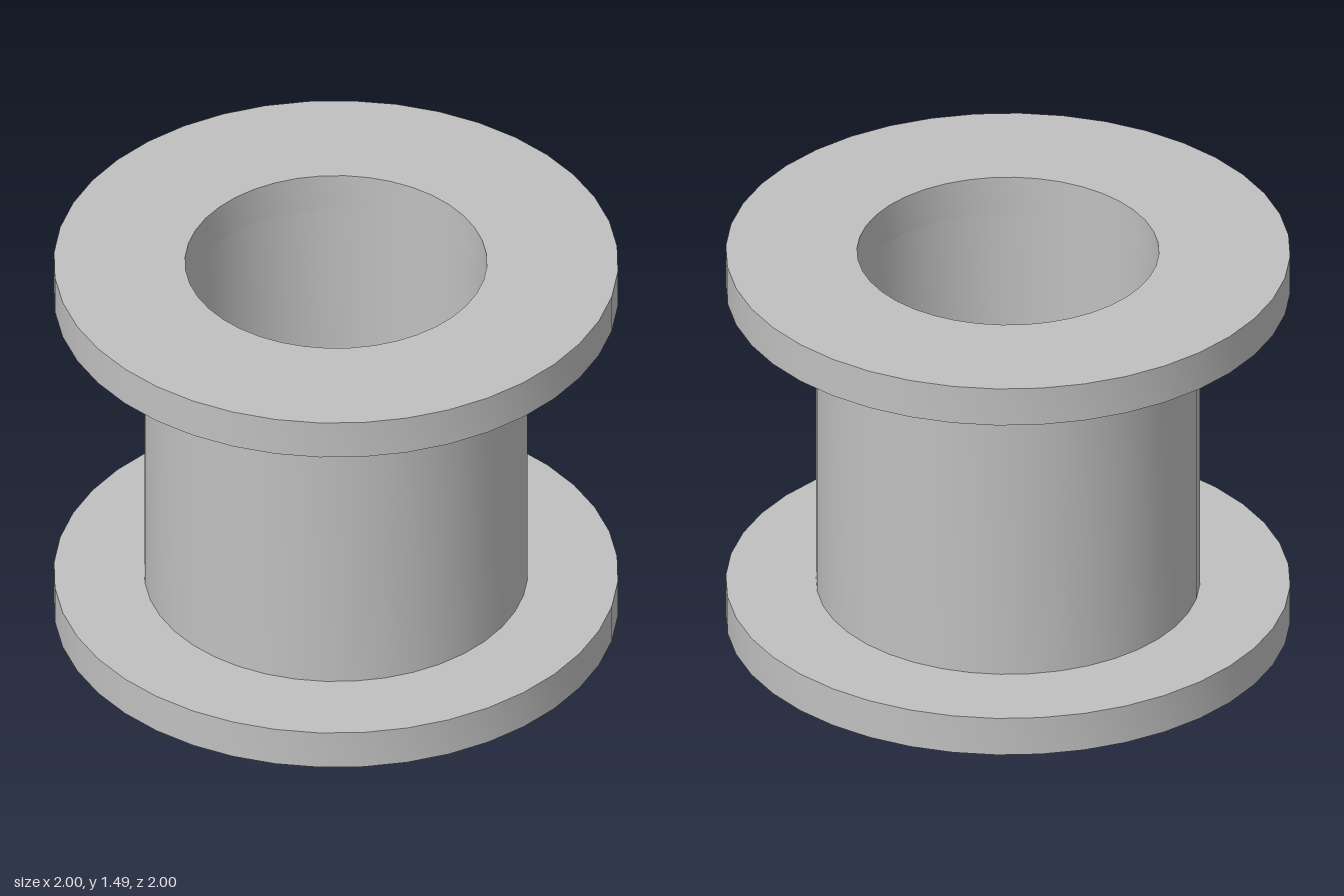
import * as THREE from 'three';
import { toCreasedNormals } from 'three/addons/utils/BufferGeometryUtils.js';

const SEGMENTS = 40;
const RIM = 1, BARREL = 0.68, BORE = 0.535;
const HEIGHT = 1.485, FLANGE = 0.148;

export function createModel() {
  const group = new THREE.Group();
  group.name = 'flangedSpool';

  const metal = new THREE.MeshStandardMaterial({ color: 0xc0c0c0 });
  metal.name = 'light grey metal';

  // Turn a profile of [radius, height] points around the y axis
  const turn = (name, profile) => {
    const points = profile.map(([r, y]) => new THREE.Vector2(r, y));
    const geometry = toCreasedNormals(new THREE.LatheGeometry(points, SEGMENTS), 0.5);
    const mesh = new THREE.Mesh(geometry, metal);
    mesh.name = name;
    group.add(mesh);
  };

  const low = FLANGE, high = HEIGHT - FLANGE;

  // Wide rings at both ends, each left open where it meets the barrel wall
  turn('bottomFlange', [[BORE, low], [BORE, 0], [RIM, 0], [RIM, low], [BARREL, low]]);
  turn('topFlange', [[BARREL, high], [RIM, high], [RIM, HEIGHT], [BORE, HEIGHT], [BORE, high]]);

  // Hollow barrel between the flanges
  turn('barrelWall', [[BARREL, low], [BARREL, high]]);
  turn('boreWall', [[BORE, high], [BORE, low]]);

  return group;
}
